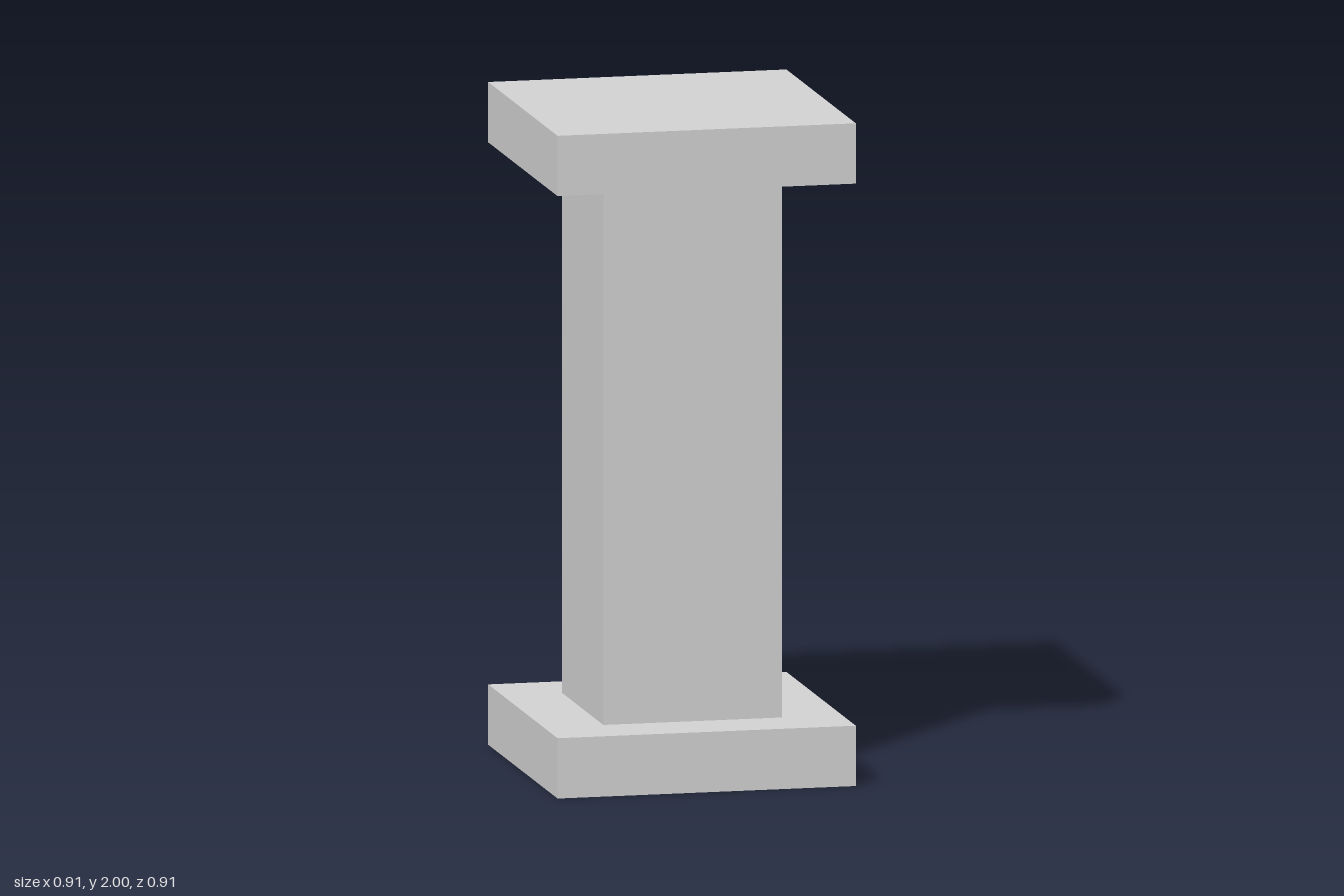
import * as THREE from 'three';

export function createModel() {
  const group = new THREE.Group();
  group.name = 'pillar';
  const stone = new THREE.MeshStandardMaterial({ color: 0xd4d4d4 });
  stone.name = 'light grey stone';

  const slabWidth = 0.909, slabHeight = 0.182, shaftWidth = 0.545, height = 2;

  // Square block standing on the given height
  function block(name, width, tall, bottom) {
    const mesh = new THREE.Mesh(new THREE.BoxGeometry(width, tall, width), stone);
    mesh.name = name;
    mesh.position.y = bottom + tall / 2;
    group.add(mesh);
  }

  block('base', slabWidth, slabHeight, 0);
  block('shaft', shaftWidth, height - 2 * slabHeight, slabHeight);
  block('capital', slabWidth, slabHeight, height - slabHeight);

  return group;
}
